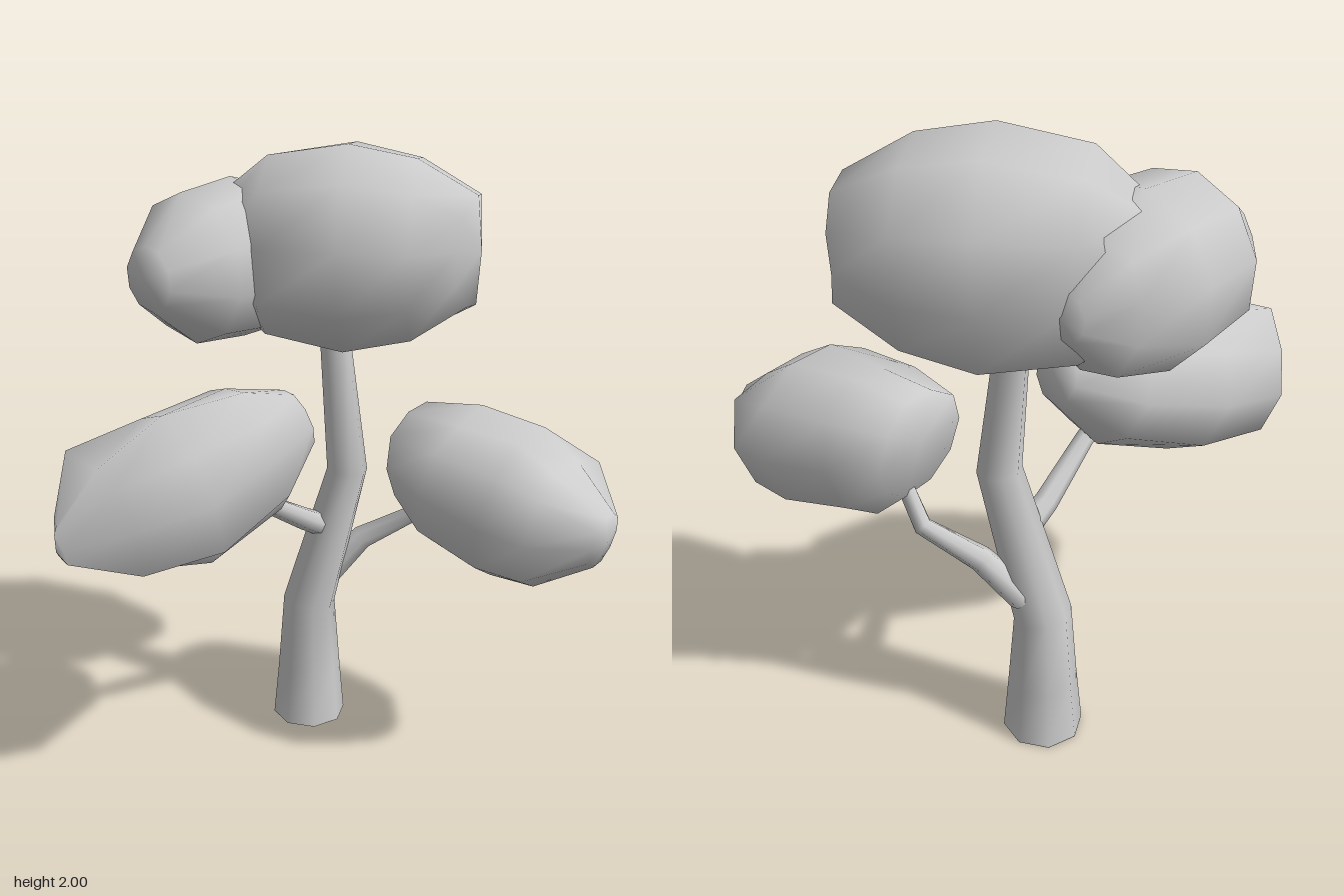
import * as THREE from 'three';
import { mergeVertices } from 'three/addons/utils/BufferGeometryUtils.js';

const UP = new THREE.Vector3(0, 1, 0);
const bark = new THREE.MeshStandardMaterial({ color: 0xcccccc, side: THREE.DoubleSide });
const leaf = new THREE.MeshStandardMaterial({ color: 0xcccccc });

// Tapered limb through nodes [x, y, z, radius], rings square to the path
function limb(name, nodes, sides) {
  const centres = nodes.map(n => new THREE.Vector3(n[0], n[1], n[2]));
  const positions = [], index = [];
  nodes.forEach((n, i) => {
    const before = centres[Math.max(i - 1, 0)];
    const after = centres[Math.min(i + 1, nodes.length - 1)];
    const tangent = after.clone().sub(before).normalize();
    const turn = new THREE.Quaternion().setFromUnitVectors(UP, tangent);
    for (let j = 0; j < sides; j++) {
      const a = (j / sides) * Math.PI * 2;
      const p = new THREE.Vector3(Math.cos(a) * n[3], 0, Math.sin(a) * n[3]);
      positions.push(...p.applyQuaternion(turn).add(centres[i]).toArray());
      if (i === nodes.length - 1) continue;
      const k = i * sides + j, m = i * sides + (j + 1) % sides;
      index.push(k, k + sides, m, m, k + sides, m + sides);
    }
  });
  const geometry = new THREE.BufferGeometry();
  geometry.setAttribute('position', new THREE.Float32BufferAttribute(positions, 3));
  geometry.setIndex(index);
  geometry.computeVertexNormals();
  const mesh = new THREE.Mesh(geometry, bark);
  mesh.name = name;
  return mesh;
}

// Foliage clump: profile of [radius, distance] turned about a tilted axis,
// then trimmed flat by planes [normal x, y, z, point x, y, z]
function clump(name, centre, axis, profile, trims) {
  const first = profile[0][1], last = profile[profile.length - 1][1];
  const points = [[0, first - 0.015], ...profile, [0, last + 0.015]]
    .map(p => new THREE.Vector2(p[0], p[1]));
  let geometry = new THREE.LatheGeometry(points, 10);
  const turn = new THREE.Quaternion().setFromUnitVectors(UP, new THREE.Vector3(...axis).normalize());
  geometry.applyQuaternion(turn).translate(...centre);
  geometry.deleteAttribute('uv');
  geometry.deleteAttribute('normal');
  geometry = mergeVertices(geometry, 1e-4);

  const position = geometry.attributes.position;
  const v = new THREE.Vector3();
  const planes = trims.map(t => new THREE.Plane().setFromNormalAndCoplanarPoint(
    new THREE.Vector3(t[0], t[1], t[2]).normalize(), new THREE.Vector3(t[3], t[4], t[5])));
  for (let i = 0; i < position.count; i++) {
    v.fromBufferAttribute(position, i);
    for (const plane of planes) {
      if (plane.distanceToPoint(v) > 0) plane.projectPoint(v.clone(), v);
    }
    position.setXYZ(i, v.x, v.y, v.z);
  }
  geometry.computeVertexNormals();
  const mesh = new THREE.Mesh(geometry, leaf);
  mesh.name = name;
  return mesh;
}

export function createModel() {
  const tree = new THREE.Group();
  tree.name = 'tree';

  // Trunk, kinked at mid height
  tree.add(limb('trunk', [
    [-0.275, 0, -0.27, 0.125],
    [-0.273, 0.2, -0.27, 0.107],
    [-0.273, 0.45, -0.273, 0.089],
    [-0.148, 0.95, -0.318, 0.067],
    [-0.205, 1.42, -0.322, 0.048],
  ], 8));
  const base = new THREE.Mesh(new THREE.CircleGeometry(0.125, 8).rotateX(Math.PI / 2), bark);
  base.position.set(-0.275, 0, -0.27);
  base.name = 'trunkBase';
  tree.add(base);

  // Branches
  tree.add(limb('frontBranch', [
    [-0.21, 0.74, -0.28, 0.042],
    [-0.22, 0.79, -0.19, 0.038],
    [-0.22, 0.91, 0.0, 0.03],
    [-0.24, 1.0, 0.1, 0.025],
  ], 7));
  tree.add(limb('sideBranch', [
    [-0.24, 0.53, -0.325, 0.05],
    [-0.14, 0.67, -0.4, 0.04],
    [0.01, 0.77, -0.48, 0.029],
    [0.12, 0.9, -0.45, 0.025],
  ], 7));

  // Foliage
  tree.add(clump('crownFoliage', [-0.18, 1.675, -0.37], [-0.89, 0, 0.46], [
    [0.18, -0.4], [0.29, -0.21], [0.335, 0], [0.288, 0.25], [0.14, 0.45],
  ], [
    [1, 0, 0, 0.185, 0, 0],
    [0, 1, 0, 0, 2, 0],
    [0, 0, -1, 0, 0, -0.715],
    [-0.14, 0, 0.27, -0.55, 0, -0.16],
    [-0.15, 0, -0.12, -0.6, 0, -0.35],
    [-0.06, 0, -0.16, -0.36, 0, -0.62],
    [0.035, 0, -0.15, -0.02, 0, -0.715],
  ]));
  tree.add(clump('crownSideFoliage', [-0.512, 1.625, -0.15], [-0.1, 0, 0.99], [
    [0.07, -0.33], [0.2, -0.24], [0.255, -0.06], [0.235, 0.15], [0.1, 0.315],
  ], [
    [-1, 0, 0, -0.75, 0, 0],
    [-0.23, 0, -0.17, -0.75, 0, -0.22],
  ]));
  tree.add(clump('frontFoliage', [-0.325, 1.07, 0.3], [-0.33, -0.26, 0.9], [
    [0.1, -0.43], [0.23, -0.26], [0.275, 0.02], [0.24, 0.28], [0.1, 0.45],
  ], [
    [0.3, 0, 0.34, -0.1, 0, 0.41],
    [-1, 0, 1, -0.63, 0, 0.52],
    [-1, 0, 0, -0.63, 0, 0],
    [0.38, 0, 0.04, -0.06, 0, 0.03],
    [0, 0.13, 0.18, 0, 1.2, 0.58],
    [0, -0.27, 0.09, 0, 0.91, 0.68],
    [-0.09, 0.22, 0, -0.5, 1.23, 0],
    [-0.17, 0.13, 0, -0.63, 1.06, 0],
    [0, 1, 0, 0, 1.33, 0],
    [0, -1, 0, 0, 0.82, 0],
  ]));
  tree.add(clump('sideFoliage', [0.385, 0.948, -0.43], [0.98, -0.17, 0], [
    [0.175, -0.37], [0.237, -0.18], [0.264, 0.05], [0.24, 0.2], [0.09, 0.35],
  ], [
    [-0.31, -0.03, 0, 0.04, 1.12, 0],
    [0.19, 0.29, 0, 0.44, 1.19, 0],
    [0, 0.18, 0.05, 0, 1.2, -0.48],
    [0, -0.26, -0.06, 0, 0.7, -0.32],
    [0, -1, 0, 0, 0.7, 0],
  ]));

  return tree;
}
